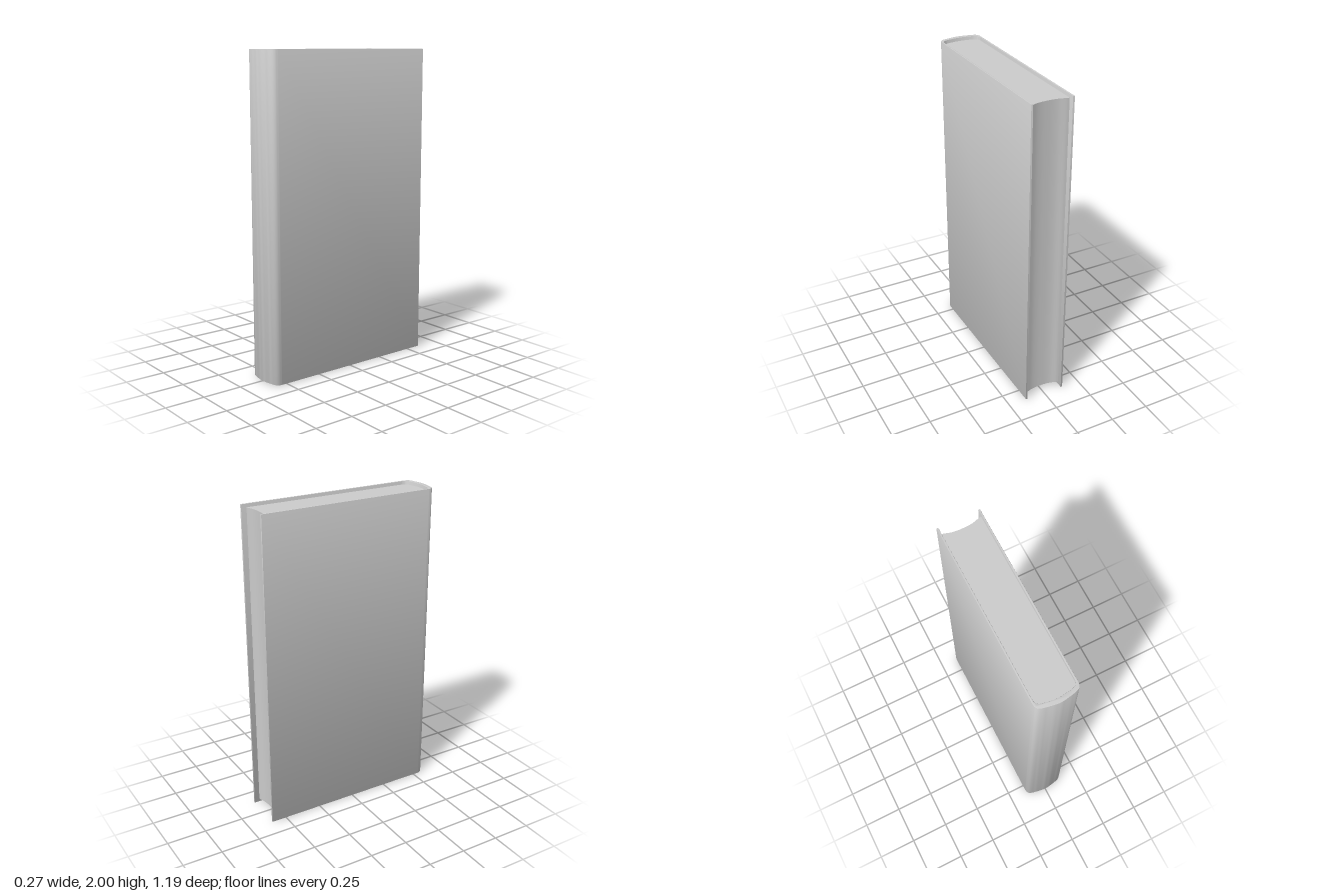
import * as THREE from 'three';
import { toCreasedNormals } from 'three/addons/utils/BufferGeometryUtils.js';

const HEIGHT = 2;
const BACK = -0.597;       // free edge of the boards
const INNER = 0.122;       // half width of the page block

// Half profiles of the spine, from the side (+x) to the middle, as [x, z]
const outerSpine = [[0.133, 0.535], [0.128, 0.555], [0.11, 0.572], [0.06, 0.584], [0, 0.592]];
const innerSpine = [[INNER, 0.51], [0.118, 0.53], [0.1, 0.547], [0.05, 0.558], [0, 0.562]];
// Concave fore-edge of the pages
const foreEdge = [[INNER, -0.563], [0.105, -0.56], [0.07, -0.549], [0.035, -0.544], [0, -0.543]];

// Mirrors a half profile and smooths it into a curve running from +x to -x
function mirroredCurve(half) {
  const other = half.slice(0, -1).reverse().map(([x, z]) => [-x, z]);
  const points = [...half, ...other].map(([x, z]) => new THREE.Vector2(x, z));
  return new THREE.SplineCurve(points).getPoints(24);
}

// Extrudes a plan outline (x, z) upwards between two heights
function upright(name, outline, bottom, top, bevel) {
  const geometry = new THREE.ExtrudeGeometry(new THREE.Shape(outline), {
    depth: top - bottom - 2 * bevel,
    bevelEnabled: bevel > 0,
    bevelThickness: bevel,
    bevelSize: bevel,
    bevelOffset: -bevel,
    bevelSegments: 2,
  });
  geometry.rotateX(Math.PI / 2);
  geometry.translate(0, top - bevel, 0);
  const material = new THREE.MeshStandardMaterial({ color: 0xcccccc });
  const mesh = new THREE.Mesh(toCreasedNormals(geometry, 0.7), material);
  mesh.name = name;
  return mesh;
}

export function createModel() {
  const book = new THREE.Group();
  book.name = 'book';

  const outer = mirroredCurve(outerSpine);
  const inner = mirroredCurve(innerSpine);

  // Cover: two thin boards joined by a thicker rounded spine
  const coverOutline = [
    new THREE.Vector2(0.133, BACK), ...outer, new THREE.Vector2(-0.133, BACK),
    new THREE.Vector2(-INNER, BACK), ...inner.slice().reverse(), new THREE.Vector2(INNER, BACK),
  ];
  book.add(upright('cover', coverOutline, 0, HEIGHT, 0.003));

  // Page block: slightly recessed at top, bottom and fore-edge
  const pageOutline = [...inner, ...mirroredCurve(foreEdge).reverse()];
  book.add(upright('pages', pageOutline, 0.022, HEIGHT - 0.022, 0));

  return book;
}
